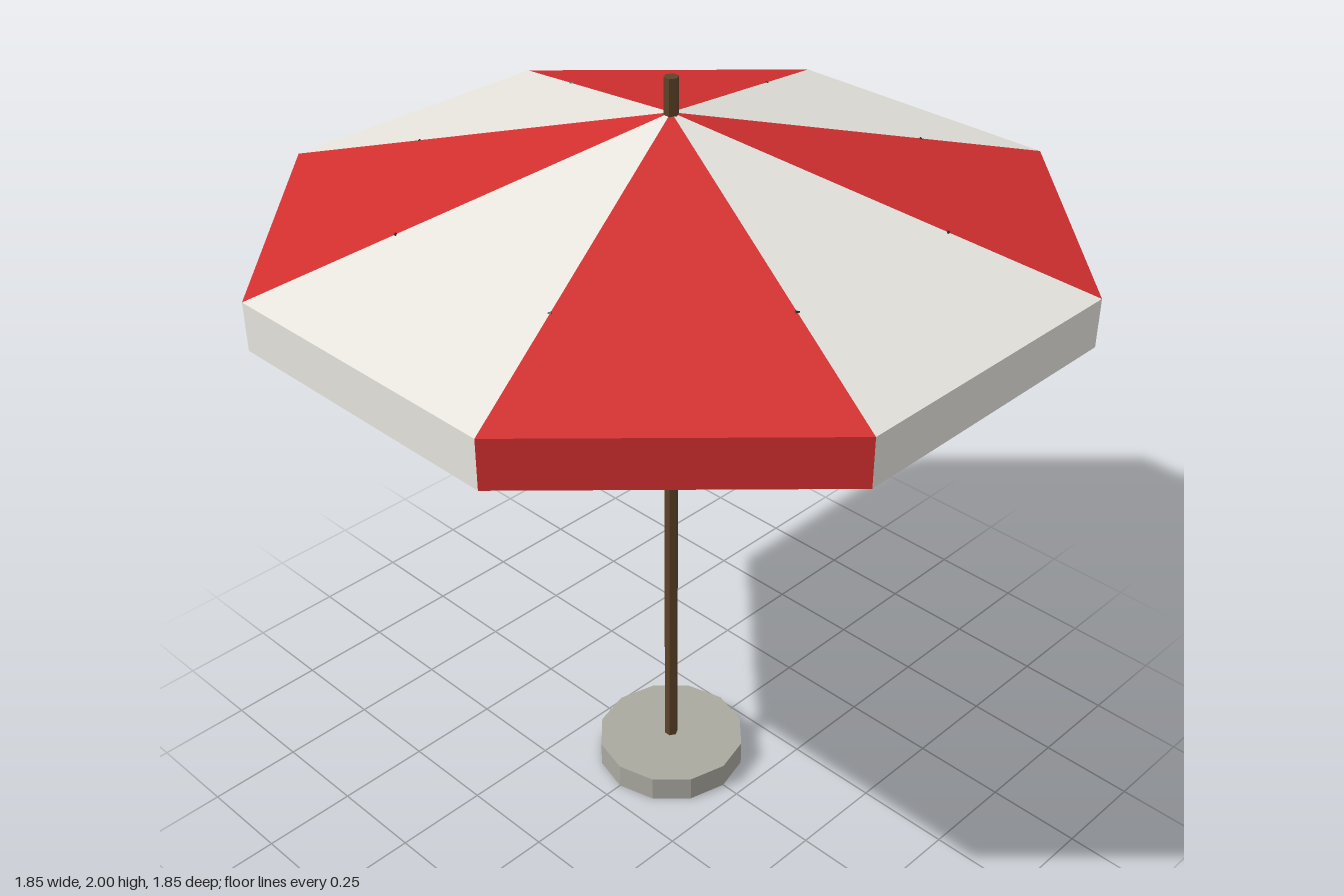
import * as THREE from 'three';

const SIDES = 8;
const APEX_Y = 1.915, EAVE_Y = 1.645, HEM_Y = 1.525;

const mat = (name, color, extra = {}) => {
  const m = new THREE.MeshStandardMaterial({ color, ...extra });
  m.name = name;
  return m;
};

// Point at a given angle (0 = front), radius and height
const polar = (angle, radius, y) =>
  new THREE.Vector3(Math.sin(angle) * radius, y, Math.cos(angle) * radius);

function addMesh(parent, name, geometry, material) {
  const mesh = new THREE.Mesh(geometry, material);
  mesh.name = name;
  parent.add(mesh);
  return mesh;
}

// One cloth wedge: sloping triangle plus the hanging valance below it
function panelGeometry(a0, a1) {
  const apex = new THREE.Vector3(0, APEX_Y, 0);
  const e0 = polar(a0, 1, EAVE_Y), e1 = polar(a1, 1, EAVE_Y);
  const h0 = polar(a0, 1, HEM_Y), h1 = polar(a1, 1, HEM_Y);
  const geometry = new THREE.BufferGeometry().setFromPoints(
    [apex, e0, e1, e0, h0, h1, e0, h1, e1]);
  geometry.computeVertexNormals();
  return geometry;
}

// Thin rod between two points
function addRod(parent, name, from, to, radius, material) {
  const dir = to.clone().sub(from);
  const rod = addMesh(parent, name,
    new THREE.CylinderGeometry(radius, radius, dir.length(), 4), material);
  rod.position.copy(from).add(to).multiplyScalar(0.5);
  rod.quaternion.setFromUnitVectors(new THREE.Vector3(0, 1, 0), dir.normalize());
}

export function createModel() {
  const model = new THREE.Group();
  model.name = 'parasol';

  const cloth = { side: THREE.DoubleSide, flatShading: true };
  const red = mat('red cloth', 0xd32f2f, cloth);
  const white = mat('off-white cloth', 0xe8e6df, cloth);
  const wood = mat('brown wood', 0x5e4328, { flatShading: true });
  const stone = mat('grey stone', 0xaaa9a0, { flatShading: true });
  const metal = mat('dark metal', 0x2b2d2c, { flatShading: true });

  // Weighted foot
  const base = addMesh(model, 'base', new THREE.CylinderGeometry(0.2, 0.2, 0.07, 12), stone);
  base.position.y = 0.035;

  // Pole, running through the canopy
  const pole = addMesh(model, 'pole', new THREE.CylinderGeometry(0.018, 0.018, 1.94, 6), wood);
  pole.position.y = 1.03;

  // Alternating canopy panels, with a rib under every seam
  const canopy = new THREE.Group();
  canopy.name = 'canopy';
  const ribs = new THREE.Group();
  ribs.name = 'ribs';
  model.add(canopy, ribs);
  const step = (Math.PI * 2) / SIDES;
  for (let i = 0; i < SIDES; i++) {
    const a0 = (i - 0.5) * step, a1 = (i + 0.5) * step;
    addMesh(canopy, 'canopyPanel', panelGeometry(a0, a1), i % 2 ? red : white);
    addRod(ribs, 'rib', new THREE.Vector3(0, 1.32, 0), polar(a0, 0.655, 1.738), 0.006, metal);
  }

  return model;
}
